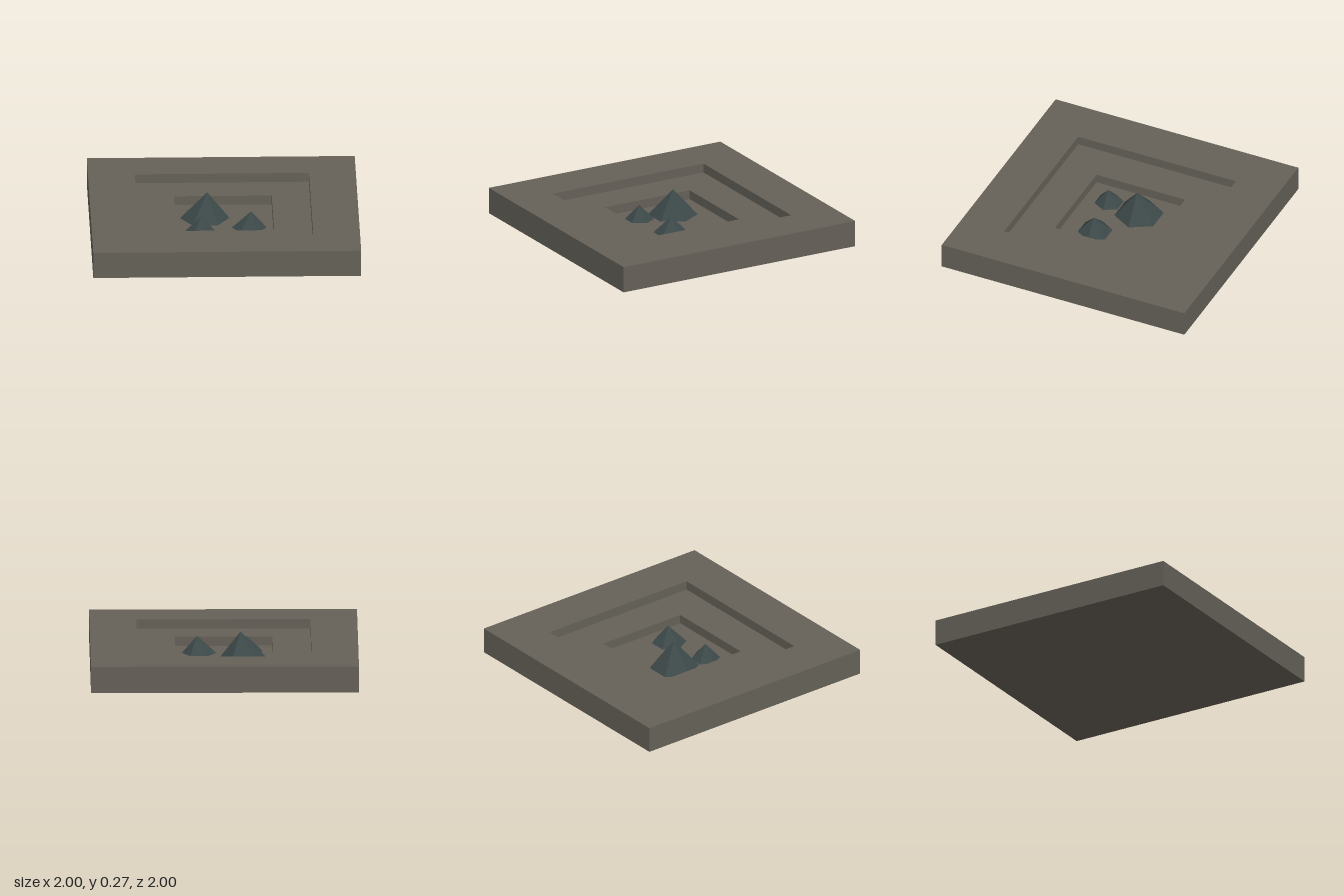
import * as THREE from 'three';

const stone = new THREE.MeshStandardMaterial({ color: 0x656158 });
stone.name = 'stone';
const crystal = new THREE.MeshStandardMaterial({ color: 0x3c4848 });
crystal.name = 'dark crystal';

// Flat-shaded copy of a geometry
function faceted(geometry) {
  const flat = geometry.toNonIndexed();
  flat.computeVertexNormals();
  return flat;
}

// Square surface swept from a half-width / height profile
function squareSweep(name, profile) {
  const points = profile.map(([half, y]) => new THREE.Vector2(half * Math.SQRT2, y));
  const mesh = new THREE.Mesh(faceted(new THREE.LatheGeometry(points, 4, Math.PI / 4)), stone);
  mesh.name = name;
  return mesh;
}

// Six-sided spike whose tip leans by [leanX, leanZ]
function spike(name, x, z, baseY, radius, height, leanX, leanZ) {
  const geometry = new THREE.ConeGeometry(radius, height, 6, 1, true, Math.PI / 6);
  geometry.translate(0, height / 2, 0);
  const p = geometry.attributes.position;
  for (let i = 0; i < p.count; i++) {
    const t = p.getY(i) / height;
    p.setX(i, p.getX(i) + leanX * t);
    p.setZ(i, p.getZ(i) + leanZ * t);
  }
  const mesh = new THREE.Mesh(faceted(geometry), crystal);
  mesh.name = name;
  mesh.position.set(x, baseY, z);
  return mesh;
}

export function createModel() {
  const model = new THREE.Group();
  model.name = 'steppedPitWithCrystals';

  const top = 0.2, stepY = 0.13, floorY = 0.06;
  const stepHalf = 0.65, pitHalf = 0.365;

  // Slab with two nested square recesses
  model.add(
    squareSweep('slab', [[0, 0], [1, 0], [1, top], [stepHalf, top]]),
    squareSweep('recessStep', [[stepHalf, top], [stepHalf, stepY], [pitHalf, stepY]]),
    squareSweep('pit', [[pitHalf, stepY], [pitHalf, floorY], [0, floorY]])
  );

  // Cluster of crystals on the pit floor
  const cluster = new THREE.Group();
  cluster.name = 'crystalCluster';
  cluster.add(
    spike('largeCrystal', -0.142, -0.09, floorY, 0.185, 0.207, 0.018, 0.008),
    spike('mediumCrystal', 0.185, 0.118, floorY, 0.13, 0.13, 0.015, 0.004),
    spike('smallCrystal', -0.182, 0.175, floorY, 0.11, 0.115, 0.007, 0.004)
  );
  model.add(cluster);
  return model;
}
